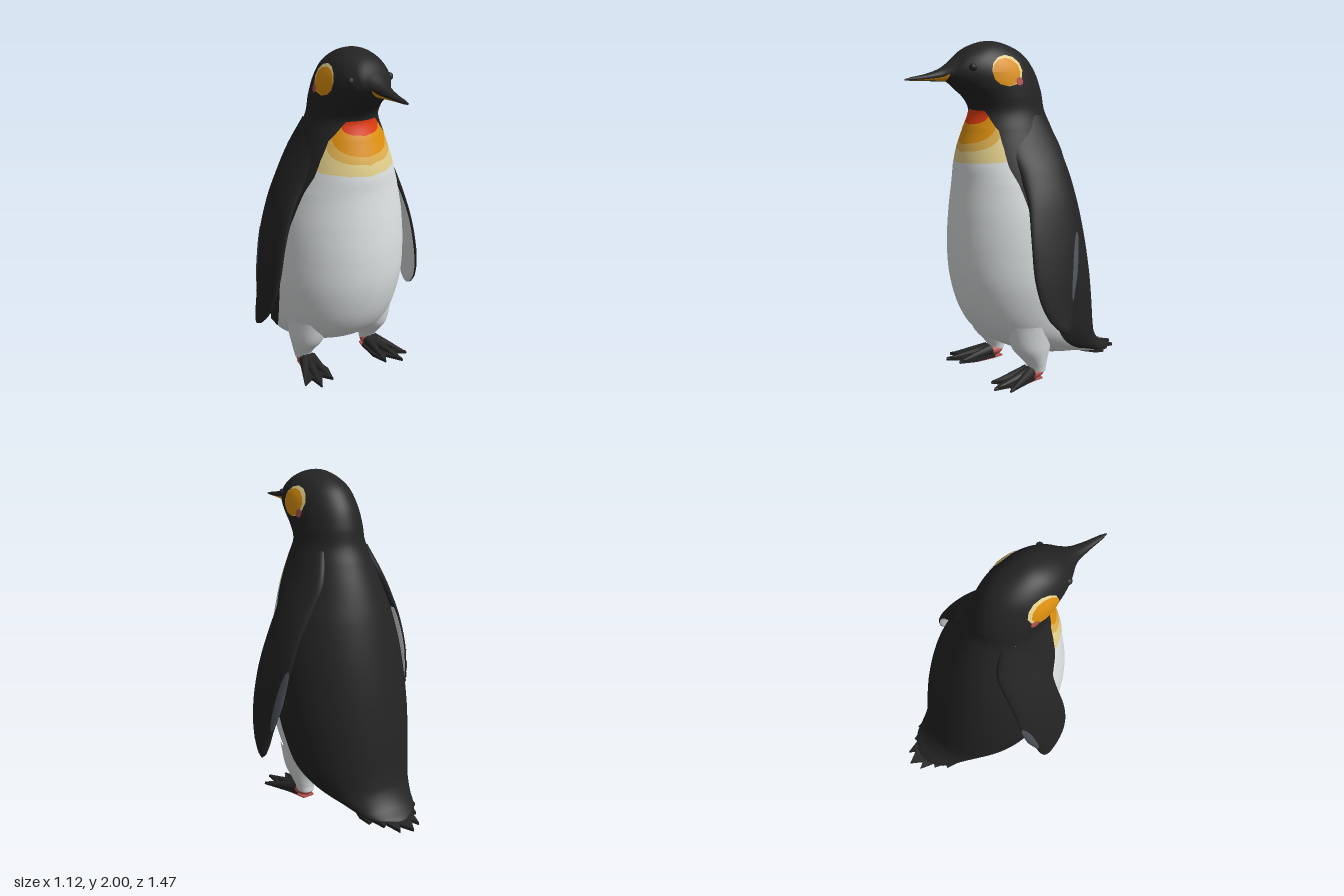
import * as THREE from 'three';
import { mergeVertices } from 'three/addons/utils/BufferGeometryUtils.js';

const V = (x, y, z) => new THREE.Vector3(x, y, z);
const RAD = Math.PI / 180;
const mat = (name, color, side = THREE.FrontSide) => {
  const m = new THREE.MeshStandardMaterial({ color, side });
  m.name = name;
  return m;
};

// Body sections from tail to beak tip: front z, y, back z, y, half width, belly edge angle
const BODY = [
  [-.56, .035, -.65, .04, .06, 88], [-.4, .05, -.63, .06, .17, 88], [-.2, .1, -.57, .11, .23, 88],
  [0, .13, -.52, .19, .29, 86], [.17, .2, -.5, .27, .34, 84], [.28, .28, -.49, .34, .37, 84],
  [.36, .4, -.48, .43, .39, 84], [.42, .6, -.455, .6, .41, 82], [.435, .8, -.42, .8, .405, 80],
  [.425, 1, -.375, 1, .385, 75], [.405, 1.2, -.32, 1.2, .34, 67], [.4, 1.3, -.285, 1.3, .305, 61],
  [.38, 1.4, -.245, 1.4, .27, 58], [.345, 1.5, -.2, 1.5, .235, 52], [.31, 1.61, -.155, 1.6, .2, 28],
  [.35, 1.68, -.135, 1.71, .195, 0], [.405, 1.725, -.095, 1.82, .19, 0], [.435, 1.75, -.02, 1.92, .18, 0],
];
const HEAD = [
  [.455, 1.765, .09, 1.98, .16, 0], [.465, 1.77, .21, 2, .135, 0], [.475, 1.775, .34, 1.965, .1, 0],
  [.485, 1.775, .43, 1.9, .07, 0], [.51, 1.775, .51, 1.85, .045, 0], [.6, 1.78, .6, 1.82, .027, 0],
  [.69, 1.783, .69, 1.803, .014, 0], [.73, 1.787, .73, 1.793, .003, 0],
];
const THROAT = 14;

// Wing sections from shoulder to tip: y, outer x, inner x, front z, back z
const WING = [
  [1.58, .2, .1, .18, -.08], [1.4, .28, .16, .2, -.15], [1.25, .355, .24, .17, -.15],
  [1.1, .415, .335, .165, -.14], [.9, .47, .41, .185, -.13], [.7, .512, .45, .19, -.1],
  [.55, .535, .485, .165, -.055], [.45, .55, .51, .12, -.035], [.385, .559, .532, .06, -.012],
  [.365, .556, .548, .02, .01],
];

// Surface patch over section index s0..s1 and angles lo(s)..hi(s), in degrees
function patch(point, s0, s1, rows, cols, lo, hi) {
  const pos = [], nor = [], idx = [], e = 1e-3;
  for (let i = 0; i <= rows; i++) {
    const s = s0 + (s1 - s0) * i / rows, a = lo(s), b = hi(s);
    for (let j = 0; j <= cols; j++) {
      const q = a + (b - a) * j / cols;
      const du = point(s, q + .5).sub(point(s, q - .5));
      const dv = point(Math.min(s + e, s1), q).sub(point(Math.max(s - e, s0), q));
      pos.push(...point(s, q).toArray());
      nor.push(...du.cross(dv).normalize().toArray());
      if (i < rows && j < cols) {
        const sn = s0 + (s1 - s0) * (i + 1) / rows;
        if (b - a < 1e-4 && hi(sn) - lo(sn) < 1e-4) continue;
        const k = i * (cols + 1) + j, n = k + cols + 1;
        idx.push(k, k + 1, n, k + 1, n + 1, n);
      }
    }
  }
  const g = new THREE.BufferGeometry();
  g.setAttribute('position', new THREE.Float32BufferAttribute(pos, 3));
  g.setAttribute('normal', new THREE.Float32BufferAttribute(nor, 3));
  g.setIndex(idx);
  return g;
}

function mirrored(geo) {
  const g = geo.index ? geo.clone() : mergeVertices(geo);
  g.scale(-1, 1, 1);
  const a = g.index.array;
  for (let i = 0; i < a.length; i += 3) [a[i], a[i + 1]] = [a[i + 1], a[i]];
  return g;
}

// Flat outline in x and z, given thickness, lying with its top at y = 0
function slab(points, depth) {
  const shape = new THREE.Shape(points.map(([x, z]) => new THREE.Vector2(x, z)));
  return new THREE.ExtrudeGeometry(shape, { depth, bevelEnabled: false }).rotateX(Math.PI / 2);
}

function taper(from, to, r0, r1) {
  const d = to.clone().sub(from), len = d.length();
  const q = new THREE.Quaternion().setFromUnitVectors(V(0, 1, 0), d.normalize());
  return new THREE.CylinderGeometry(r1, r0, len, 10).translate(0, len / 2, 0)
    .applyQuaternion(q).translate(from.x, from.y, from.z);
}

export function createModel() {
  const group = new THREE.Group();
  const black = mat('black plumage', 0x242424), white = mat('white plumage', 0xdfe3e4);
  const pale = mat('pale yellow', 0xe8d48e), amber = mat('amber', 0xe2b352);
  const orange = mat('orange', 0xe0920f), red = mat('scarlet', 0xe03c12);
  const rose = mat('rose skin', 0xb4544f), slate = mat('slate', 0x50545c);
  const add = (name, geo, material) => {
    const m = new THREE.Mesh(geo, material);
    m.name = name;
    group.add(m);
    return m;
  };
  const pair = (name, geo, material) => {
    add(name + 'Left', geo, material);
    add(name + 'Right', mirrored(geo), material);
  };

  // Body surface: smooth curves through the section ends
  const all = [...BODY, ...HEAD], last = all.length - 1;
  const front = new THREE.CatmullRomCurve3(all.map(r => V(0, r[1], r[0])));
  const back = new THREE.CatmullRomCurve3(all.map(r => V(0, r[3], r[2])));
  const width = new THREE.CatmullRomCurve3(all.map((r, i) => V(r[4], 0, i * .1)));
  const bodyPoint = (grow = 1) => (s, deg) => {
    const t = s / last, f = front.getPoint(t), b = back.getPoint(t), c = f.clone().add(b).multiplyScalar(.5);
    const a = deg * RAD, k = Math.cos(a) * grow;
    return V(Math.sin(a) * width.getPoint(t).x * grow, c.y + (f.y - c.y) * k, c.z + (f.z - c.z) * k);
  };
  const body = bodyPoint();
  const edge = s => {
    const i = Math.min(Math.floor(s), last - 1);
    return THREE.MathUtils.lerp(all[i][5], all[i + 1][5], s - i);
  };
  const rows = THROAT * 12;
  add('back', patch(body, 0, THROAT, rows, 40, edge, s => 360 - edge(s)), black);
  const head = add('headAndBeak', patch(body, THROAT, last, 90, 48, () => 0, () => 360), black);

  // Throat bands nest inside each other, the belly fills the rest
  const limit = (bottom, angle, power) => s => {
    const y = front.getPoint(s / last).y;
    const f = THREE.MathUtils.clamp((1.61 - y) / (1.61 - bottom), 0, 1);
    return Math.min(edge(s), angle * Math.sqrt(1 - f ** power));
  };
  let inner = () => 0;
  for (const [name, material, outer] of [
    ['throatPatch', red, limit(1.53, 35, 4)], ['chestBandOrange', orange, limit(1.42, 49, 4)],
    ['chestBandAmber', amber, limit(1.375, 56, 5)], ['chestBandPale', pale, limit(1.315, 100, 10)],
    ['belly', white, edge],
  ]) {
    pair(name, patch(body, 0, THROAT, rows, 12, inner, outer), material);
    inner = outer;
  }

  // Beak stripes
  pair('beakStripe', patch(bodyPoint(1.06), 21.4, 24.2, 20, 6,
    s => 30 + 20 * (s - 21.4) / 2.8, s => 82 - 22 * (s - 21.4) / 2.8), orange);

  // Cheek patches wrapped on the head
  const ray = new THREE.Raycaster();
  const hit = (y, z) => {
    ray.set(V(2, y, z), V(-1, 0, 0));
    const h = ray.intersectObject(head)[0];
    return h ? h.point.x : .17;
  };
  const cheek = (name, y, z, ry, rz, lift, material, sides = 24) => {
    const g = patch((r, a) => {
      const py = y + r * ry * Math.sin(a * RAD), pz = z + r * rz * Math.cos(a * RAD);
      return V(hit(py, pz) + lift, py, pz);
    }, 0, 1, 5, sides, () => 0, () => 360);
    g.computeVertexNormals();
    pair(name, g, material);
  };
  cheek('cheekRim', 1.835, .175, .087, .1, .004, pale, 12);
  cheek('cheekSpot', 1.828, .185, .078, .09, .007, orange, 12);
  cheek('cheekCorner', 1.775, .108, .024, .026, .009, rose, 8);

  // Eyes
  pair('eye', new THREE.SphereGeometry(.022, 16, 12).translate(hit(1.855, .37) - .006, 1.855, .37), black);

  // Wings: dark outside, white inside
  const wx = new THREE.CatmullRomCurve3(WING.map(r => V(r[1], r[0], r[2])));
  const wz = new THREE.CatmullRomCurve3(WING.map((r, i) => V(r[3], i * .1, r[4])));
  const wl = WING.length - 1;
  const wingPoint = (grow = 1) => (s, deg) => {
    const p = wx.getPoint(s / wl), q = wz.getPoint(s / wl), a = deg * RAD;
    return V((p.x + p.z) / 2 + Math.sin(a) * grow * (p.x - p.z) / 2, p.y,
      (q.x + q.z) / 2 - Math.cos(a) * grow * (q.x - q.z) / 2);
  };
  pair('wingOuter', patch(wingPoint(), 0, wl, 54, 24, () => -12, () => 198), black);
  pair('wingShoulderInner', patch(wingPoint(), 0, 2.5, 15, 16, () => 198, () => 348), black);
  pair('wingInner', patch(wingPoint(), 2.5, wl, 39, 16, () => 198, () => 348), white);
  const bulge = s => 24 * Math.sqrt(Math.max(0, 1 - ((s - 4.95) / 1.1) ** 2));
  pair('wingTrailingPatch', patch(wingPoint(1.03), 3.85, 6.05, 20, 8, s => 24 - bulge(s), s => 24 + bulge(s)), slate);

  // Tail feathers: jagged fan sloping to the ground
  const half = [[.17, -.38], [.195, -.47], [.18, -.545], [.15, -.54], [.125, -.615], [.1, -.605], [.072, -.7], [.045, -.66]];
  const tail = slab([...half, [0, -.735], ...half.map(([x, z]) => [-x, z]).reverse()], .02);
  const tp = tail.attributes.position;
  for (let i = 0; i < tp.count; i++) {
    tp.setY(i, tp.getY(i) + .035 + .2 * (tp.getZ(i) + .735) - .1 * Math.abs(tp.getX(i)));
  }
  tail.computeVertexNormals();
  add('tailFeathers', tail, black);

  // Legs: y, centre x, centre z, radius x, radius z
  const LEG = [[.36, .21, .05, .15, .17], [.2, .235, .05, .1, .12], [.1, .24, .02, .065, .065], [.05, .24, .01, .05, .05]];
  const lc = new THREE.CatmullRomCurve3(LEG.map(r => V(r[1], r[0], r[2])));
  const lr = new THREE.CatmullRomCurve3(LEG.map((r, i) => V(r[3], i * .1, r[4])));
  pair('leg', patch((s, deg) => {
    const c = lc.getPoint(s / 3), r = lr.getPoint(s / 3), a = deg * RAD;
    return V(c.x + Math.sin(a) * r.x, c.y, c.z - Math.cos(a) * r.z);
  }, 0, 3, 18, 24, () => 0, () => 360), white);

  // Feet: web, three clawed toes, rose heel and sole
  const tips = [[.195, .305], [.295, .345], [.37, .28]];
  pair('footWeb', slab([[.18, .05], [.165, .2], tips[0], [.235, .25], tips[1], [.305, .24], tips[2], [.33, .18], [.28, .05]], .02)
    .translate(0, .026, 0), black);
  for (const [x, z] of tips) {
    pair('toe', taper(V(.235 + (x - .28) * .25, .05, .07), V(x, .014, z), .036, .006), black);
  }
  pair('heel', new THREE.SphereGeometry(1, 20, 14).scale(.055, .036, .075).translate(.237, .042, .045), rose);
  pair('sole', slab([[.195, -.01], [.18, .06], [.178, .17], [.31, .17], [.28, .05], [.27, -.01]], .008).translate(0, .008, 0), rose);

  return group;
}
